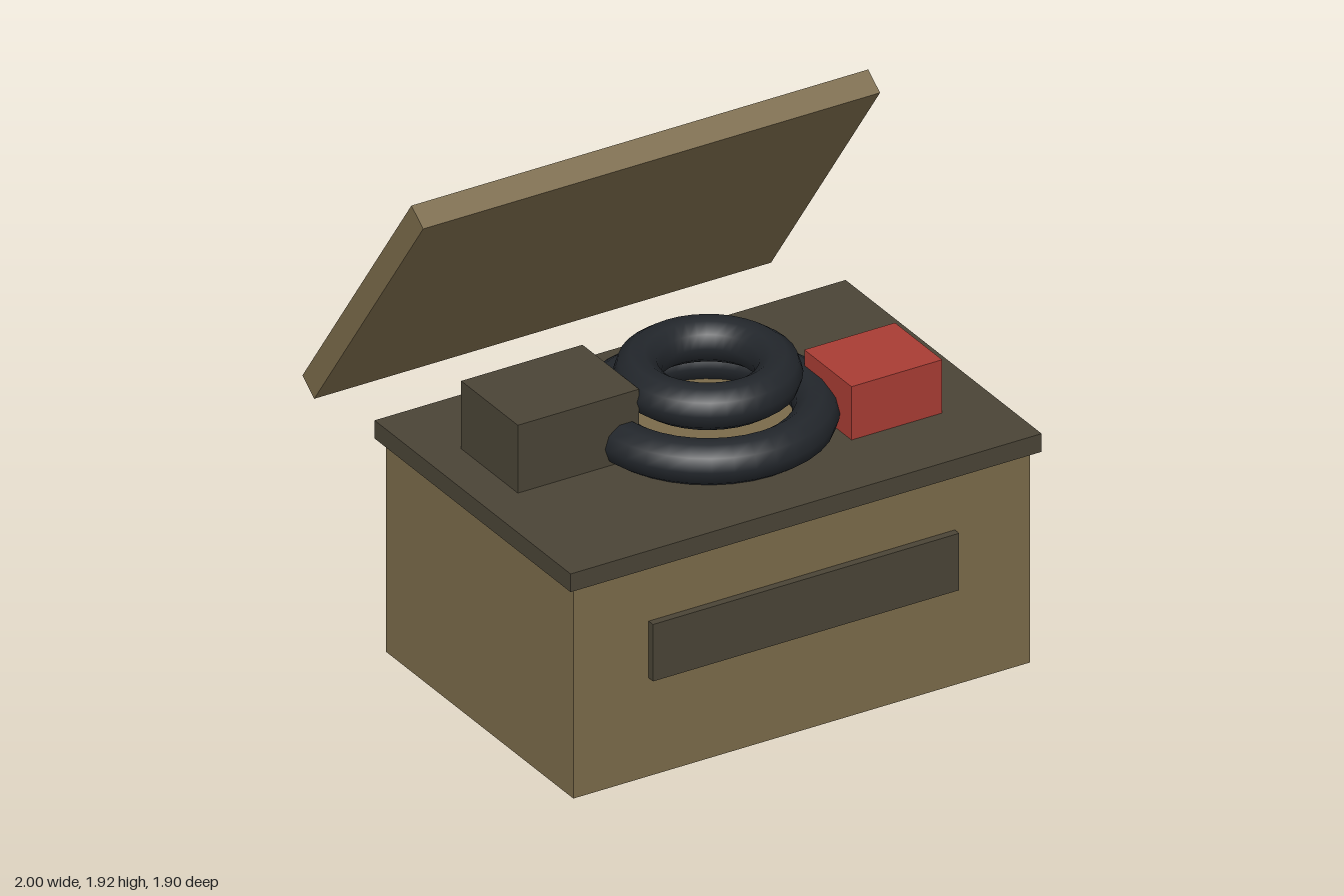
import * as THREE from 'three';

const material = (color) => new THREE.MeshStandardMaterial({ color });

export function createModel() {
  const model = new THREE.Group();
  const wood = material(0x7a6a4a);
  const dark = material(0x4a4436);
  const red = material(0xa83c34);
  const rubber = material(0x22262b);

  const add = (name, geometry, mat, x, y, z) => {
    const mesh = new THREE.Mesh(geometry, mat);
    mesh.name = name;
    mesh.position.set(x, y, z);
    model.add(mesh);
    return mesh;
  };
  // Box given by its minimum and maximum corners
  const box = (name, mat, [x0, y0, z0], [x1, y1, z1]) =>
    add(name, new THREE.BoxGeometry(x1 - x0, y1 - y0, z1 - z0), mat,
      (x0 + x1) / 2, (y0 + y1) / 2, (z0 + z1) / 2);

  // Crate with its overhanging top and front panel
  box('crateBody', wood, [-0.97, 0, -0.37], [0.97, 0.88, 0.92]);
  box('crateTop', dark, [-1, 0.875, -0.4], [1, 0.95, 0.95]);
  box('frontPanel', dark, [-0.65, 0.405, 0.9], [0.65, 0.64, 0.95]);

  // Open lid, tilted back behind the crate
  const lid = add('lid', new THREE.BoxGeometry(1.94, 0.1, 1.294), wood, 0, 1.368, -0.53);
  lid.rotation.x = -0.952;

  // Two stacked rings lying on a thin disc
  const rings = [['lowerRing', 0.392, 1.022], ['upperRing', 0.257, 1.177]];
  for (const [name, radius, y] of rings) {
    const ring = add(name, new THREE.TorusGeometry(radius, 0.0875, 10, 36), rubber, 0, y, 0.275);
    ring.rotation.x = -Math.PI / 2;
  }
  add('ringDisc', new THREE.CylinderGeometry(0.34, 0.34, 0.025, 36), wood, 0, 0.96, 0.275);

  // Loose boxes on the top
  box('darkBox', dark, [-0.845, 0.95, -0.055], [-0.33, 1.23, 0.335]);
  box('redBox', red, [0.39, 0.95, 0.305], [0.775, 1.17, 0.63]);

  return model;
}
